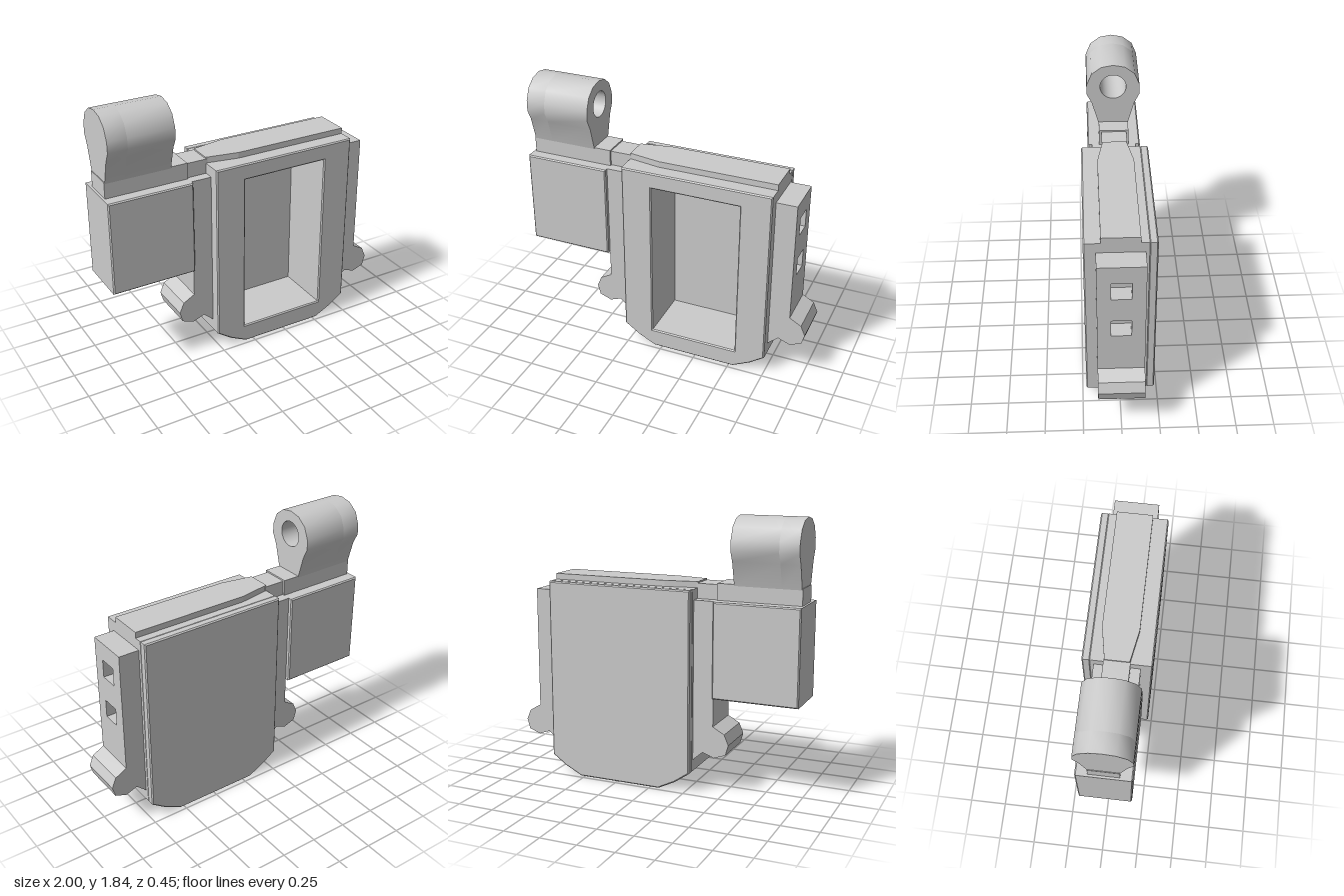
import * as THREE from 'three';
import { toCreasedNormals } from 'three/addons/utils/BufferGeometryUtils.js';

const mat = new THREE.MeshStandardMaterial({ color: 0xcccccc });

function polygon(points) {
  return new THREE.Shape(points.map(([x, y]) => new THREE.Vector2(x, y)));
}

function rect(x0, y0, x1, y1) {
  return [[x0, y0], [x1, y0], [x1, y1], [x0, y1]];
}

// Extrudes from z0 to z1, with an optional chamfer kept inside the outline
function slab(shape, z0, z1, bevel = 0) {
  const geo = new THREE.ExtrudeGeometry(shape, {
    depth: z1 - z0 - 2 * bevel, bevelEnabled: bevel > 0, bevelSegments: 1,
    bevelSize: bevel, bevelThickness: bevel, bevelOffset: -bevel, curveSegments: 16,
  });
  return geo.translate(0, 0, z0 + bevel);
}

// Extrudes a (z, y) shape along x, from x0 to x1
function sideSlab(shape, x0, x1) {
  return slab(shape, x0, x1).rotateY(Math.PI / 2);
}

function block(x0, x1, y0, y1, z) {
  return new THREE.BoxGeometry(x1 - x0, y1 - y0, 2 * z).translate((x0 + x1) / 2, (y0 + y1) / 2, 0);
}

export function createModel() {
  const model = new THREE.Group();
  const add = (name, geo, parent = model) => {
    const mesh = new THREE.Mesh(geo, mat);
    mesh.name = name;
    parent.add(mesh);
    return mesh;
  };

  // Case: chamfered outline, deep window in front, closed back
  const outline = [
    [-0.28, 0.13], [-0.18, 0.06], [-0.06, 0], [0.53, 0],
    [0.65, 0.06], [0.75, 0.13], [0.75, 1.36], [-0.28, 1.36],
  ];
  const frame = polygon(outline);
  frame.holes.push(polygon(rect(-0.07, 0.13, 0.54, 1.25).reverse()));
  add('caseFrame', slab(frame, -0.18, 0.225, 0.008));
  add('caseBack', slab(polygon(outline), -0.225, -0.17, 0.008));

  // Raised ridge on top, narrowing toward the hinge
  const ridge = polygon([
    [-0.28, -0.08], [-0.06, -0.12], [0.75, -0.12],
    [0.75, 0.12], [-0.06, 0.12], [-0.28, 0.08],
  ]);
  add('topRidge', slab(ridge, 1.34, 1.4).rotateX(Math.PI / 2).translate(0, 2.74, 0));

  // Side rails with a hooked foot, mirrored about the middle of the case
  const foot = polygon([
    [0.74, 0.2], [0.82, 0.27], [0.9, 0.24], [0.98, 0.27],
    [1.0, 0.34], [0.97, 0.41], [0.89, 0.455], [0.74, 0.455],
  ]);
  const mid = 0.235;
  for (const side of [1, -1]) {
    const rail = new THREE.Group();
    rail.name = side > 0 ? 'leftRail' : 'rightRail';
    const face = polygon(rect(-0.15, 0.45, 0.15, 1.29));
    if (side > 0) {
      // Square sockets in the outer face
      for (const y of [0.74, 1.04]) face.holes.push(polygon(rect(-0.063, y, 0.063, y + 0.125).reverse()));
    }
    add('railFace', sideSlab(face, 0.78, 0.89), rail);
    add('railBase', block(0.74, 0.78, 0.45, 1.29, 0.15), rail);
    add('railFoot', slab(foot, -0.15, 0.15), rail);
    if (side < 0) {
      rail.rotation.y = Math.PI;
      rail.position.x = 2 * mid;
    }
    model.add(rail);
  }

  // Hanging box beside the case and the bridge joining them
  add('sideBox', slab(polygon(rect(-1, 0.65, -0.42, 1.29)), -0.18, 0.18, 0.008));
  add('boxCap', block(-0.985, -0.42, 1.28, 1.4, 0.1));
  add('bridge', block(-0.43, -0.27, 1.29, 1.39, 0.085));

  // Rounded lug with a blind bore opening toward the case
  const half = [
    [0.1, 1.39], [0.145, 1.55], [0.18, 1.62], [0.178, 1.69], [0.145, 1.77], [0.08, 1.82],
  ];
  const lugOutline = [...half, [0, 1.835], ...half.map(([z, y]) => [-z, y]).reverse()];
  const bored = polygon(lugOutline);
  const bore = new THREE.Path();
  bore.absarc(0, 1.673, 0.088, 0, Math.PI * 2, true);
  bored.holes.push(bore);
  add('lugBored', toCreasedNormals(sideSlab(bored, -0.85, -0.535), 0.7));
  add('lugEnd', toCreasedNormals(sideSlab(polygon(lugOutline), -0.98, -0.85), 0.7));

  return model;
}
